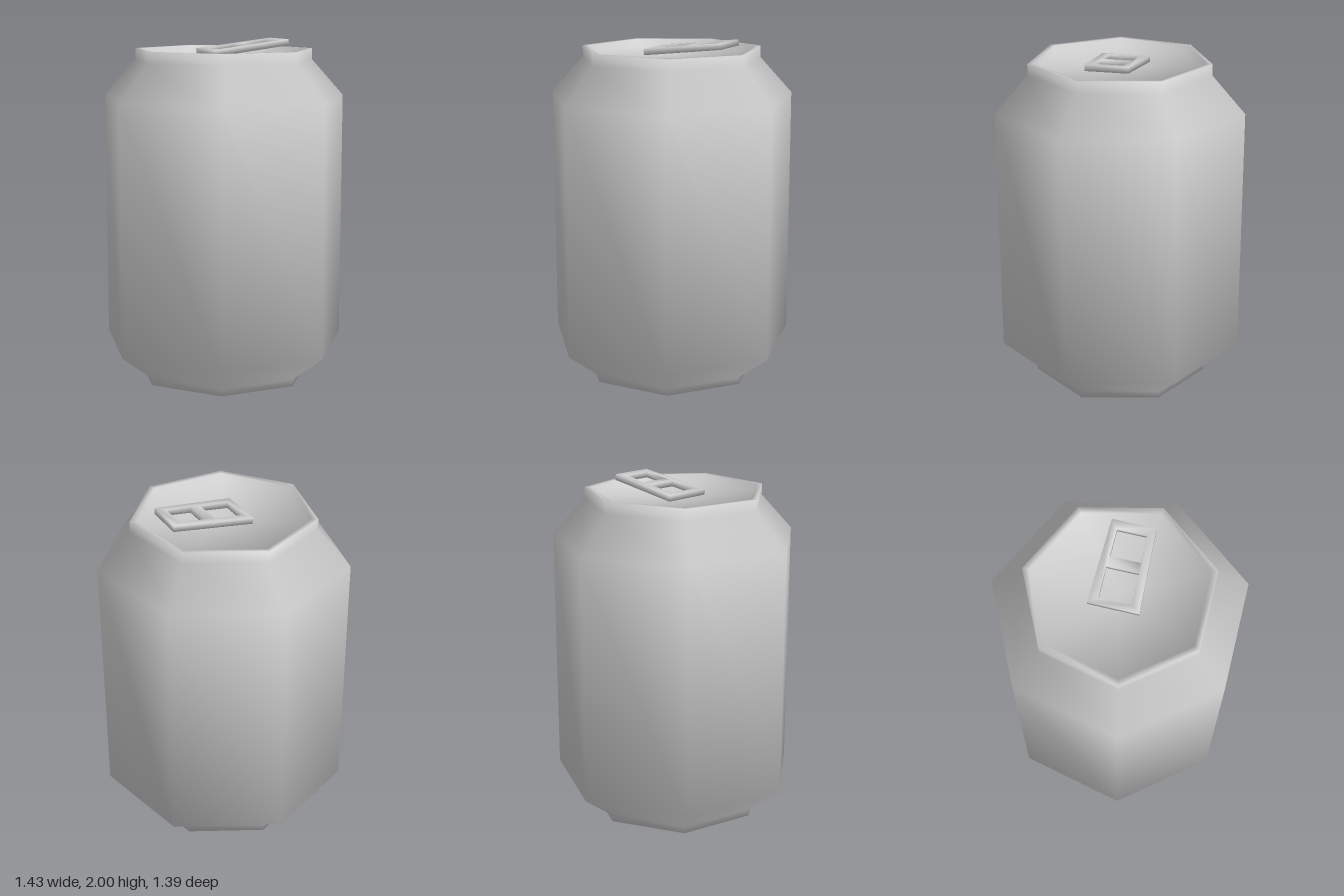
import * as THREE from 'three';
import { mergeVertices } from 'three/addons/utils/BufferGeometryUtils.js';

const SIDES = 7;
const CENTRE_Z = 0.033; // puts the odd-sided body's bounds on z = 0

// Seven-sided lathe whose normals average the neighbouring profile segments equally
function softLathe(profile) {
  const points = profile.map(([r, y]) => new THREE.Vector2(r, y));
  const geometry = new THREE.LatheGeometry(points, SIDES, Math.PI);
  const segments = points.slice(1).map((p, i) => {
    const d = p.clone().sub(points[i]).normalize();
    return new THREE.Vector2(d.y, -d.x);
  });
  const normals = points.map((_, i) => {
    const before = segments[Math.max(i - 1, 0)];
    const after = segments[Math.min(i, segments.length - 1)];
    return before.clone().add(after).normalize();
  });
  const attribute = geometry.attributes.normal;
  for (let i = 0; i <= SIDES; i++) {
    const phi = Math.PI + (i / SIDES) * Math.PI * 2;
    normals.forEach((n, j) => {
      attribute.setXYZ(i * points.length + j, n.x * Math.sin(phi), n.y, n.x * Math.cos(phi));
    });
  }
  return geometry;
}

// Four-cornered outline, symmetric about the x axis, with a half width at each end
function taper(path, x0, half0, x1, half1) {
  path.moveTo(x0, -half0);
  path.lineTo(x1, -half1);
  path.lineTo(x1, half1);
  path.lineTo(x0, half0);
  path.closePath();
  return path;
}

export function createModel() {
  const model = new THREE.Group();
  model.name = 'drinkCan';
  const material = new THREE.MeshStandardMaterial({ color: 0xcccccc });

  // Can body: recessed base, foot ring, wall, shoulder, rim and recessed lid
  const body = new THREE.Mesh(softLathe([
    [0, 0.08], [0.49, 0.08], [0.49, 0], [0.527, 0], [0.527, 0.04],
    [0.733, 0.2], [0.733, 1.665], [0.538, 1.88], [0.538, 1.945],
    [0.5, 1.945], [0.5, 1.905], [0, 1.905],
  ]), material);
  body.name = 'canBody';
  body.position.z = CENTRE_Z;
  model.add(body);

  // Pull tab: tapered plate with two openings, tilted up toward +x
  const plate = taper(new THREE.Shape(), -0.105, 0.142, 0.377, 0.123);
  plate.holes.push(
    taper(new THREE.Path(), -0.067, 0.09, 0.112, 0.09),
    taper(new THREE.Path(), 0.17, 0.085, 0.326, 0.083),
  );
  let tabGeometry = new THREE.ExtrudeGeometry(plate, { depth: 0.035, bevelEnabled: false });
  tabGeometry.deleteAttribute('normal');
  tabGeometry.deleteAttribute('uv');
  tabGeometry = mergeVertices(tabGeometry);
  tabGeometry.computeVertexNormals();
  tabGeometry.rotateX(-Math.PI / 2);
  const tab = new THREE.Mesh(tabGeometry, material);
  tab.name = 'pullTab';
  tab.rotation.z = 0.115;
  tab.position.set(0, 1.922, 0.0225);
  model.add(tab);

  return model;
}
